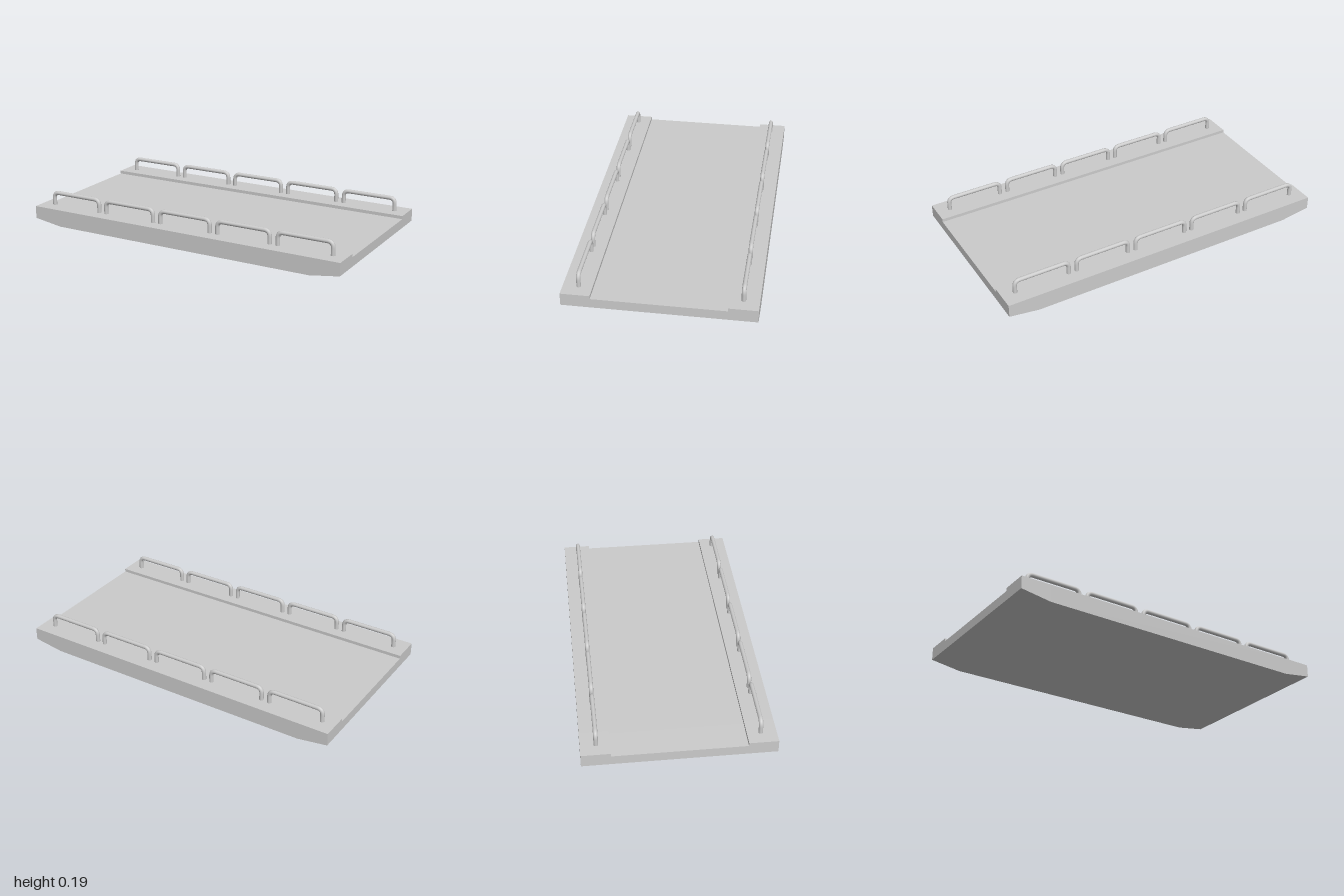
import * as THREE from 'three';

const material = new THREE.MeshStandardMaterial({ color: 0xcccccc });

// Hull: channelled cross-section swept along x, with the underside raised at both ends
function createHull() {
  const halfDepth = 0.533, channel = 0.37, top = 0.102, deck = 0.083;
  const section = new THREE.Shape([
    [-halfDepth, 0], [halfDepth, 0], [halfDepth, top], [channel, top],
    [channel, deck], [-channel, deck], [-channel, top], [-halfDepth, top],
  ].map(([z, y]) => new THREE.Vector2(z, y)));
  const geometry = new THREE.ExtrudeGeometry(section, { depth: 3, steps: 3, bevelEnabled: false });
  geometry.rotateY(Math.PI / 2);

  const stations = [-1, -0.82, 0.82, 1];
  const pos = geometry.attributes.position;
  for (let i = 0; i < pos.count; i++) {
    const step = Math.round(pos.getX(i));
    pos.setX(i, stations[step]);
    if ((step === 0 || step === 3) && pos.getY(i) < 0.001) pos.setY(i, 0.027);
  }
  geometry.computeVertexNormals();
  const hull = new THREE.Mesh(geometry, material);
  hull.name = 'hull';
  return hull;
}

// Rail: a round bar with two legs and rounded upper corners
function createRailGeometry() {
  const radius = 0.0125, half = 0.164, foot = 0.095, top = 0.178, bend = 0.034;
  const v = (x, y) => new THREE.Vector3(x, y, 0);
  const path = new THREE.CurvePath();
  path.add(new THREE.LineCurve3(v(-half, foot), v(-half, top - bend)));
  path.add(new THREE.QuadraticBezierCurve3(v(-half, top - bend), v(-half, top), v(-half + bend, top)));
  path.add(new THREE.LineCurve3(v(-half + bend, top), v(half - bend, top)));
  path.add(new THREE.QuadraticBezierCurve3(v(half - bend, top), v(half, top), v(half, top - bend)));
  path.add(new THREE.LineCurve3(v(half, top - bend), v(half, foot)));
  return new THREE.TubeGeometry(path, 72, radius, 12, false);
}

export function createModel() {
  const model = new THREE.Group();
  model.name = 'pontoonDeck';
  model.add(createHull());

  // Five rails along each raised side
  const railGeometry = createRailGeometry();
  for (const side of [1, -1]) {
    const rails = new THREE.Group();
    rails.name = side > 0 ? 'frontRails' : 'backRails';
    for (let i = -2; i <= 2; i++) {
      const rail = new THREE.Mesh(railGeometry, material);
      rail.name = 'rail';
      rail.position.set(i * 0.378, 0, side * 0.446);
      rails.add(rail);
    }
    model.add(rails);
  }
  return model;
}
